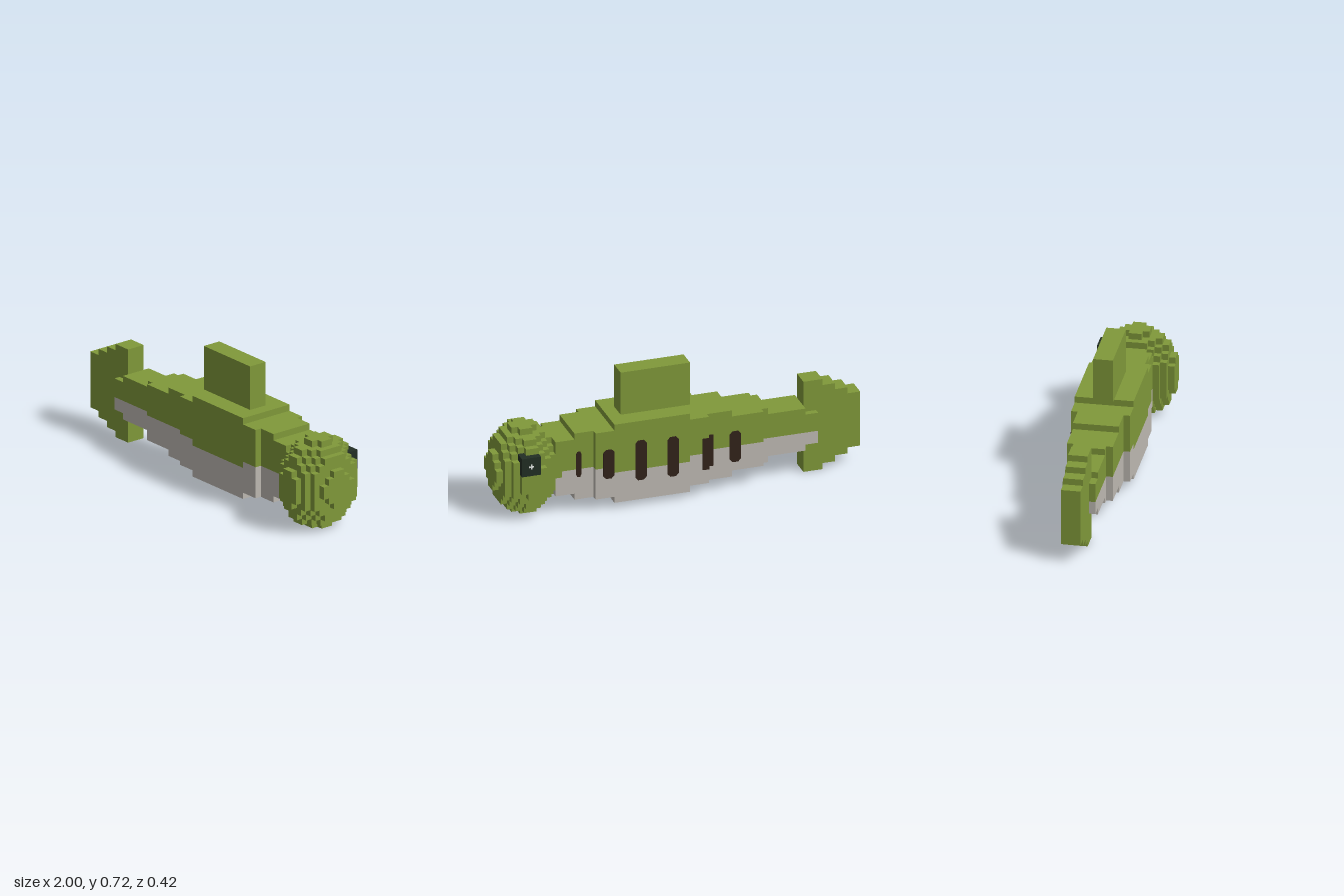
import * as THREE from 'three';
import { mergeGeometries } from 'three/addons/utils/BufferGeometryUtils.js';

// One block of the model's grid; all part sizes below are in blocks.
const U = 1 / 29;

function mat(name, color, side = THREE.FrontSide) {
  const m = new THREE.MeshStandardMaterial({ color, side });
  m.name = name;
  return m;
}

function box([x0, x1], [y0, y1], [z0, z1]) {
  const g = new THREE.BoxGeometry((x1 - x0) * U, (y1 - y0) * U, (z1 - z0) * U);
  return g.translate((x0 + x1) / 2 * U, (y0 + y1) / 2 * U, (z0 + z1) / 2 * U);
}

export function createModel() {
  const model = new THREE.Group();
  const green = mat('olive green', 0x80993a);
  const grey = mat('belly grey', 0xbfbab3);
  const brown = mat('stripe brown', 0x32231a);
  const dark = mat('eye dark', 0x222e24);
  const pale = mat('eye glint', 0xe4e8e4);

  const add = (name, geometries, material) => {
    const mesh = new THREE.Mesh(mergeGeometries(geometries), material);
    mesh.name = name;
    model.add(mesh);
  };

  // Body slabs: x start, x end, bottom, colour line, top, back z, front z
  const slabs = [
    [-22, -20, 5, 7, 10, -3, 2],
    [-20, -14, 4, 7, 11, -3, 2],
    [-14, -13, 3, 7, 12, -3, 2],
    [-13, -8, 3, 7, 12, -4, 3],
    [-8, -4, 2, 7, 13, -4, 3],
    [-4, -1, 2, 7, 13, -5, 4],
    [-1, 11, 1, 6, 14, -5, 4],
    [11, 14, 2, 7, 13, -5, 4],
    [14, 17, 2, 7, 13, -4, 3],
    [17, 19, 3, 7, 12, -4, 3],
    [19, 20, 3, 6, 12, -4, 3],
  ];
  add('back', slabs.map(([a, b, , m, t, z0, z1]) => box([a, b], [m, t], [z0, z1])), green);
  add('belly', slabs.map(([a, b, l, m, , z0, z1]) => box([a, b], [l, m], [z0, z1])), grey);

  // Fins
  add('dorsalFin', [box([-2, 9], [14, 21], [-2, 1])], green);
  add('tailFin', [
    box([-29, -27], [3, 12], [-2, 1]),
    box([-27, -25], [2, 13], [-2, 1]),
    box([-25, -23], [1, 14], [-2, 1]),
    box([-23, -20], [0, 15], [-2, 1]),
  ], green);

  // Head: a blocky ellipsoid made of upright columns, with a gap for the eye
  const columns = [];
  for (let x = -5; x < 5; x++) {
    for (let z = -6; z < 6; z++) {
      const rest = 1 - ((x + 0.5) / 5) ** 2 - ((z + 0.5) / 6) ** 2;
      if (rest <= 0) continue;
      const h = Math.floor(7 * Math.sqrt(rest) + 0.5);
      if (h < 1) continue;
      const inEye = (z === -6 && x >= -1 && x < 2) || (z === -5 && x === 1);
      const top = inEye ? Math.min(7 + h, 8) : 7 + h;
      columns.push(box([24 + x, 25 + x], [7 - h, top], [z, z + 1]));
    }
  }
  add('head', columns, green);

  // Single eye on the back side, with a small cross-shaped glint
  add('eye', [box([23, 26], [8, 11], [-6, -4])], dark);
  add('eyeGlint', [
    box([24.1, 24.9], [9.38, 9.62], [-6.06, -6]),
    box([24.38, 24.62], [9.1, 9.9], [-6.07, -6]),
  ], pale);

  // Stripes on the back side: thin plates with clipped corners
  const stripe = ([x0, x1], [y0, y1], z) => {
    const c = (x1 - x0) * 0.25;
    const s = new THREE.Shape([
      [x0 + c, y0], [x1 - c, y0], [x1, y0 + 0.5], [x1, y1 - 0.5],
      [x1 - c, y1], [x0 + c, y1], [x0, y1 - 0.5], [x0, y0 + 0.5],
    ].map(([x, y]) => new THREE.Vector2(x * U, y * U)));
    const g = new THREE.ExtrudeGeometry(s, { depth: 0.1 * U, bevelEnabled: false });
    return g.translate(0, 0, (z - 0.08) * U);
  };
  add('sideStripes', [
    stripe([15.9, 16.8], [5.7, 9.9], -4),
    stripe([11, 12.8], [5.2, 10], -5),
    stripe([5.9, 7.7], [4.2, 10.8], -5),
    stripe([0.8, 2.6], [4, 10.6], -5),
    stripe([-9.4, -7.6], [4.4, 9.5], -4),
  ], brown);

  // Stripe that wraps round the body step
  add('wrappedStripe', [
    box([-4.08, -3], [4.3, 9.5], [-5.08, -4]),
    box([-5, -4], [4.3, 9.5], [-4.08, -3.98]),
  ], brown);

  return model;
}
